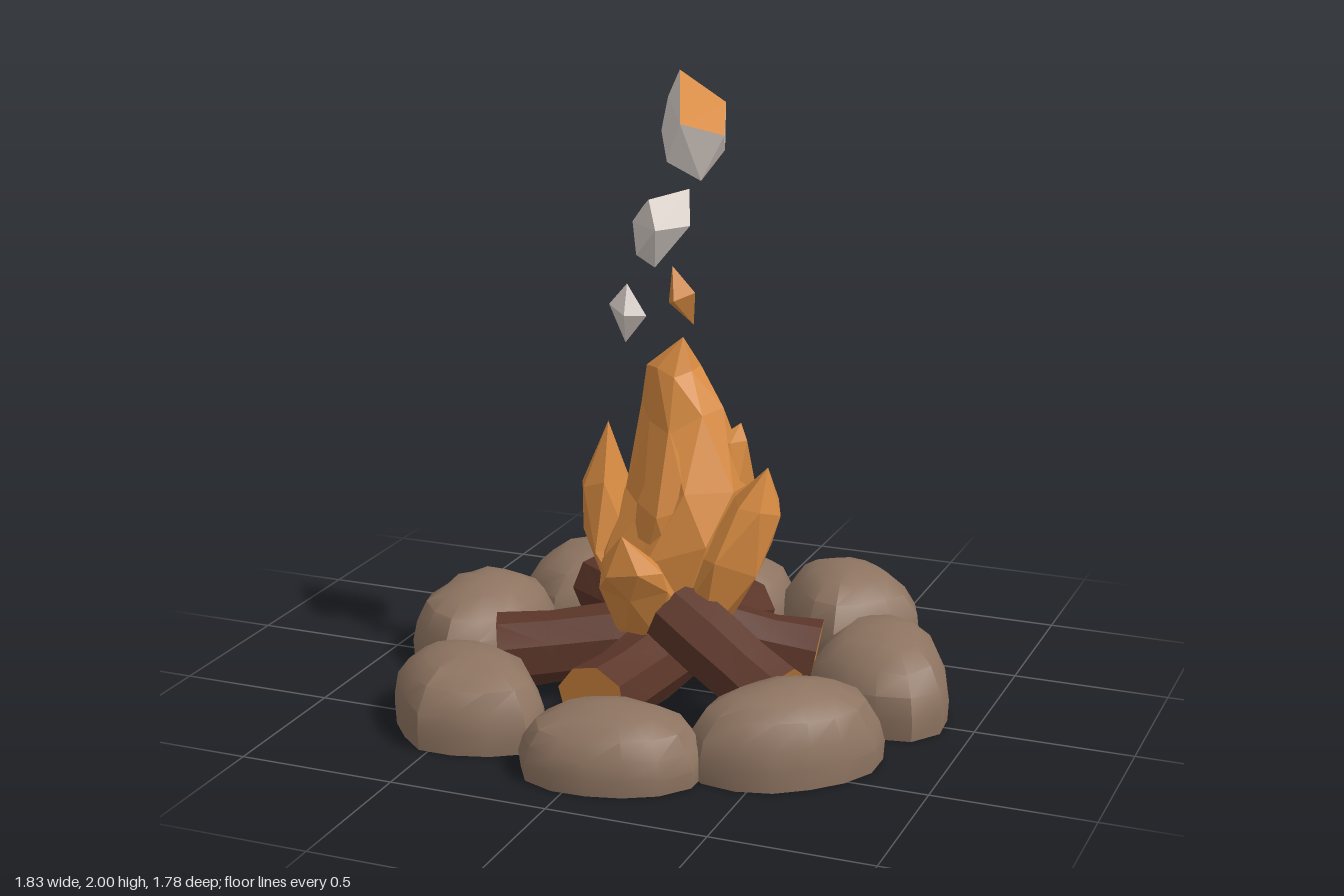
import * as THREE from 'three';
import { toCreasedNormals } from 'three/addons/utils/BufferGeometryUtils.js';
import { ConvexGeometry } from 'three/addons/geometries/ConvexGeometry.js';

const V = (x, y, z) => new THREE.Vector3(x, y, z);

const material = (name, color) => {
  const m = new THREE.MeshStandardMaterial({ color });
  m.name = name;
  return m;
};

// Small seeded random, returns -1..1
function seeded(seed) {
  let s = seed * 7919 + 17;
  return () => {
    s = (s * 16807) % 2147483647;
    return (s / 2147483647) * 2 - 1;
  };
}

// Skin over rings of points, closed at both ends; group 0 is the side, group 1 the ends
function loft(rings) {
  const pos = [];
  const tri = (a, b, c) => {
    const area = b.clone().sub(a).cross(c.clone().sub(a)).length();
    if (area > 1e-8) for (const p of [a, b, c]) pos.push(p.x, p.y, p.z);
  };
  const n = rings[0].length;
  for (let k = 0; k < rings.length - 1; k++) {
    for (let i = 0; i < n; i++) {
      const j = (i + 1) % n;
      tri(rings[k][i], rings[k + 1][i], rings[k][j]);
      tri(rings[k][j], rings[k + 1][i], rings[k + 1][j]);
    }
  }
  const sideCount = pos.length / 3;
  const mid = (ring) => ring.reduce((s, p) => s.add(p), V(0, 0, 0)).divideScalar(n);
  const low = rings[0], top = rings[rings.length - 1];
  const lowMid = mid(low), topMid = mid(top);
  for (let i = 0; i < n; i++) {
    const j = (i + 1) % n;
    tri(low[i], low[j], lowMid);
    tri(top[j], top[i], topMid);
  }
  const g = new THREE.BufferGeometry();
  g.setAttribute('position', new THREE.Float32BufferAttribute(pos, 3));
  g.addGroup(0, sideCount, 0);
  g.addGroup(sideCount, pos.length / 3 - sideCount, 1);
  g.computeVertexNormals();
  return g;
}

// Rounded boulder with a flat base, from its plan outline [x, z]
function stoneGeometry(outline, height, seed) {
  const rnd = seeded(seed);
  const curve = new THREE.CatmullRomCurve3(outline.map(([x, z]) => V(x, 0, z)), true);
  const plan = curve.getSpacedPoints(14).slice(0, 14);
  const c = plan.reduce((s, p) => s.add(p), V(0, 0, 0)).divideScalar(plan.length);
  const profile = [[0, 0.98], [0.25, 1], [0.5, 0.955], [0.75, 0.8], [0.92, 0.54], [1, 0.2]];
  const rings = profile.map(([h, s], k) => plan.map((p) => {
    const f = s * (1 + (k > 1 ? 0.03 : 0.005) * rnd());
    const y = k ? height * (h + (k < 5 ? 0.025 : 0.005) * rnd()) : 0;
    return V(c.x + (p.x - c.x) * f, y, c.z + (p.z - c.z) * f);
  }));
  return toCreasedNormals(loft(rings), 0.6);
}

// Rough log along +y, from its outer end
function logGeometry(length, radius, seed) {
  const rnd = seeded(seed);
  const rings = [[0, 1], [0.3, 0.93], [0.65, 0.96], [1, 0.92]].map(([t, s]) =>
    Array.from({ length: 8 }, (_, i) => {
      const a = (i / 8) * Math.PI * 2;
      const r = radius * s * (1 + 0.06 * rnd());
      return V(Math.cos(a) * r, t * length, Math.sin(a) * r);
    }));
  return toCreasedNormals(loft(rings), 0.6);
}

// Jagged faceted flame through [x, y, z, radius] stations; depth scales its thickness in z
function tongueGeometry(path, sides, depth, seed) {
  const rnd = seeded(seed);
  const rings = path.map(([x, y, z, r], k) => Array.from({ length: sides }, (_, i) => {
    const a = ((i + k / 2) / sides) * Math.PI * 2;
    const f = r * (1.02 + 0.13 * rnd());
    return V(x + Math.cos(a) * f, y + r * 0.35 * rnd(), z + Math.sin(a) * f * depth);
  }));
  return loft(rings);
}

// Convex shard; facets facing `glow` go to group 1
function shardGeometry(points, glow) {
  const g = new ConvexGeometry(points.map((p) => V(...p)));
  const normal = g.getAttribute('normal');
  for (let i = 0; i < normal.count; i += 3) {
    const n = V(0, 0, 0).fromBufferAttribute(normal, i);
    g.addGroup(i, 3, glow && n.dot(glow) > 0.93 ? 1 : 0);
  }
  return g;
}

export function createModel() {
  const stone = material('stone brown', 0x8e7461);
  const bark = material('bark brown', 0x5c3629);
  const fire = material('fire orange', 0xd68a41);
  const smoke = material('smoke grey', 0xd6ccc6);

  const model = new THREE.Group();
  model.name = 'campfire';
  const group = (name) => {
    const g = new THREE.Group();
    g.name = name;
    model.add(g);
    return g;
  };
  const add = (parent, name, geometry, mat) => {
    const m = new THREE.Mesh(geometry, mat);
    m.name = name;
    parent.add(m);
    return m;
  };

  // Ring of stones
  const ring = group('stoneRing');
  const addStone = (name, height, seed, outline) =>
    add(ring, name, stoneGeometry(outline, height, seed), [stone, stone]);
  addStone('rightHandStone', 0.26, 1, [[-.82, -.35], [-.57, -.32], [-.5, -.2], [-.49, 0], [-.57, .18], [-.66, .25], [-.86, .14], [-.92, -.02], [-.89, -.22]]);
  addStone('backStoneA', 0.27, 2, [[-.35, -.82], [-.22, -.76], [-.19, -.63], [-.25, -.42], [-.51, -.27], [-.71, -.39], [-.73, -.54], [-.56, -.74]]);
  addStone('backStoneB', 0.22, 3, [[-.14, -.86], [-.03, -.89], [.07, -.87], [.15, -.76], [.13, -.49], [-.02, -.41], [-.2, -.45], [-.22, -.66]]);
  addStone('backStoneC', 0.27, 4, [[.22, -.83], [.43, -.82], [.62, -.67], [.65, -.57], [.41, -.32], [.27, -.42], [.16, -.61], [.15, -.76]]);
  addStone('leftHandStone', 0.27, 5, [[.62, -.39], [.76, -.34], [.87, -.15], [.91, .06], [.81, .17], [.56, .12], [.46, .03], [.46, -.15], [.51, -.34]]);
  addStone('frontStoneA', 0.26, 6, [[.62, .18], [.78, .25], [.81, .39], [.71, .56], [.51, .69], [.29, .64], [.29, .49], [.47, .25]]);
  addStone('frontStoneB', 0.21, 7, [[.07, .48], [.27, .51], [.36, .65], [.27, .81], [0, .89], [-.17, .82], [-.2, .66], [-.12, .54]]);
  addStone('frontStoneC', 0.25, 8, [[-.66, .3], [-.37, .34], [-.22, .51], [-.2, .66], [-.51, .77], [-.66, .64], [-.75, .49], [-.73, .37]]);

  // Logs leaning inward: outer end, inner end, radius
  const logs = group('logs');
  [
    [[-.38, .19, -.33], [.02, .24, .02], .115],
    [[.09, .135, -.41], [0, .25, .04], .122],
    [[.45, .13, -.09], [-.02, .22, .02], .122],
    [[.44, .13, .28], [.07, .33, .17], .122],
    [[-.07, .13, .5], [.02, .15, .02], .122],
    [[-.5, .135, .24], [.02, .19, .02], .125],
  ].forEach(([outer, inner, radius], i) => {
    const a = V(...outer), d = V(...inner).sub(a);
    const log = add(logs, 'log', logGeometry(d.length(), radius, 20 + i), [bark, fire]);
    log.position.copy(a);
    log.quaternion.setFromUnitVectors(V(0, 1, 0), d.normalize());
  });

  // Pale ash chip on one log
  add(logs, 'ashChip', new THREE.OctahedronGeometry(0.022), smoke).position.set(-.49, .21, .15);

  // Flames: a broad core with licking tongues around it
  const flames = group('flames');
  const addFlame = (name, sides, depth, seed, path) =>
    add(flames, name, tongueGeometry(path, sides, depth, seed), [fire, fire]);
  addFlame('coreFlame', 8, 1, 31, [[0, .17, 0, .07], [0, .28, 0, .18], [0, .5, 0, .23], [.02, .7, -.03, .2], [.02, .9, -.05, .135], [-.02, 1.04, -.05, .08], [.02, 1.16, -.03, 0]]);
  addFlame('rightHandFlame', 6, 1.5, 32, [[-.1, .24, .01, .08], [-.2, .5, .01, .1], [-.23, .68, .01, .075], [-.21, .88, .03, 0]]);
  addFlame('leftHandFlame', 6, 1.4, 33, [[.11, .25, .04, .1], [.22, .48, .04, .11], [.3, .66, .04, .07], [.33, .79, .04, 0]]);
  addFlame('frontFlame', 6, .75, 34, [[-.02, .25, .15, .11], [-.02, .38, .22, .13], [-.03, .5, .28, .1], [-.04, .61, .33, 0]]);
  addFlame('upperFrontFlame', 6, 1, 35, [[.03, .4, .08, .13], [.03, .65, .12, .095], [.04, .91, .14, 0]]);
  addFlame('upperSideFlame', 6, 1.1, 36, [[.1, .4, -.05, .13], [.13, .68, -.06, .105], [.16, .82, -.06, .06], [.2, .89, -.07, 0]]);
  addFlame('backFlame', 6, .65, 37, [[0, .33, -.08, .15], [0, .62, -.13, .15], [0, .85, -.13, .1], [.02, 1, -.15, 0]]);

  // Rising smoke shards and a spark
  const rising = group('risingShards');
  add(rising, 'topSmoke', shardGeometry([
    [.02, 2, 0], [.1, 1.87, .2], [.21, 1.83, .12], [.17, 1.91, 0], [-.01, 1.92, .02], [-.02, 1.82, .05],
    [.05, 1.75, .18], [.14, 1.69, .13], [.16, 1.76, -.02], [.05, 1.79, -.02],
  ], V(.49, .81, .33)), [smoke, fire]);
  add(rising, 'middleSmoke', shardGeometry([
    [.04, 1.63, -.03], [-.05, 1.61, .08], [-.09, 1.58, .02], [-.01, 1.59, -.045], [-.12, 1.53, .04],
    [-.1, 1.43, .06], [-.03, 1.4, .08], [.07, 1.53, .04], [0, 1.53, .15], [0, 1.53, -.06],
  ], V(-.45, .7, -.55)), [smoke, fire]);
  add(rising, 'lowSmoke', shardGeometry([
    [-.11, 1.35, .11], [-.17, 1.28, .11], [-.12, 1.16, .1], [-.05, 1.25, .1], [-.1, 1.26, .16], [-.12, 1.26, .07],
  ]), [smoke, fire]);
  add(rising, 'spark', shardGeometry([
    [.06, 1.43, .16], [.13, 1.35, .15], [.11, 1.24, .11], [.04, 1.31, .14], [.08, 1.33, .2], [.09, 1.34, .09],
  ]), [fire, fire]);

  return model;
}
